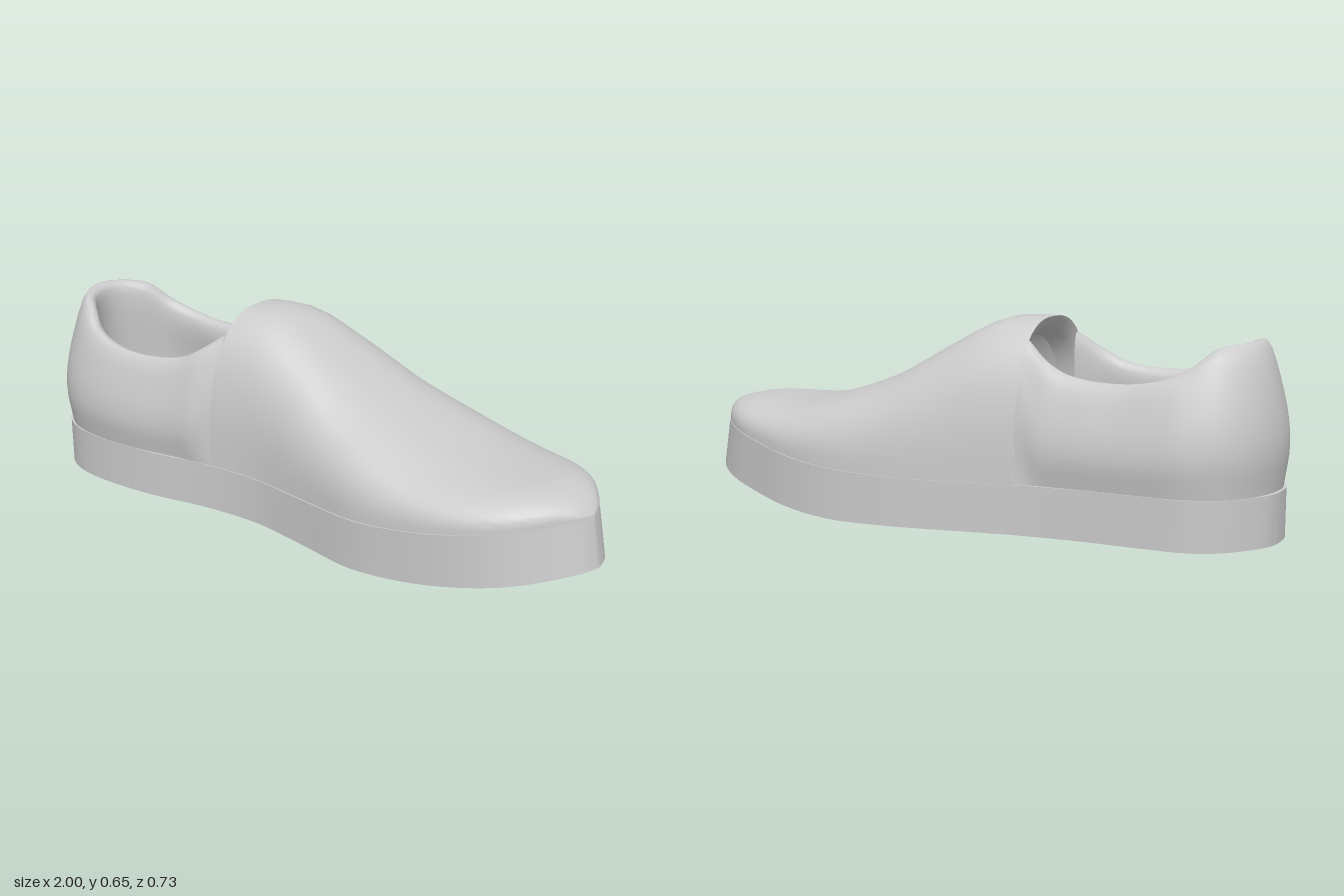
import * as THREE from 'three';
import { toCreasedNormals } from 'three/addons/utils/BufferGeometryUtils.js';

const V = (x, y, z) => new THREE.Vector3(x, y, z);
const spline = (pts) => new THREE.CatmullRomCurve3(pts);

// Point of a curve whose x is given (x grows along the curve)
function at(curve, x) {
  let lo = 0, hi = 1;
  for (let i = 0; i < 30; i++) {
    const mid = (lo + hi) / 2;
    if (curve.getPoint(mid).x < x) lo = mid; else hi = mid;
  }
  return curve.getPoint((lo + hi) / 2);
}

// Skin a grid of points (rows of equal length)
function skin(rows, crease, name) {
  const pos = [], index = [], n = rows[0].length;
  rows.forEach((row) => row.forEach((p) => pos.push(p.x, p.y, p.z)));
  for (let i = 0; i < rows.length - 1; i++) {
    for (let j = 0; j < n - 1; j++) {
      const a = i * n + j, b = a + n;
      index.push(a, b, a + 1, b, b + 1, a + 1);
    }
  }
  const g = new THREE.BufferGeometry();
  g.setAttribute('position', new THREE.Float32BufferAttribute(pos, 3));
  g.setIndex(index);
  const mat = new THREE.MeshStandardMaterial({ color: 0xcccccc, side: THREE.DoubleSide });
  const mesh = new THREE.Mesh(toCreasedNormals(g, crease), mat);
  mesh.name = name;
  return mesh;
}

// Footprint: x, z of the right edge, z of the left edge
const footprint = spline([
  [-1, 0.1, 0.1], [-0.992, 0.045, 0.175], [-0.96, -0.02, 0.25], [-0.9, -0.1, 0.31], [-0.82, -0.15, 0.34],
  [-0.7, -0.17, 0.347], [-0.5, -0.19, 0.325], [-0.3, -0.225, 0.28], [-0.1, -0.28, 0.26],
  [0.1, -0.335, 0.28], [0.33, -0.365, 0.31], [0.5, -0.35, 0.3], [0.65, -0.31, 0.275],
  [0.78, -0.265, 0.23], [0.88, -0.2, 0.165], [0.95, -0.115, 0.09], [0.985, -0.055, 0.045], [1, 0, 0],
].map((p) => V(...p)));

// Heights along the length
const soleTop = spline([V(-1.1, 0.155, 0), V(-0.4, 0.155, 0), V(0.1, 0.155, 0), V(0.4, 0.172, 0), V(0.7, 0.215, 0), V(1.01, 0.268, 0)]);
const soleBottom = spline([V(0.3, 0, 0), V(0.5, 0.018, 0), V(0.75, 0.058, 0), V(1.01, 0.112, 0)]);
const instep = spline([[-0.4, 0.64], [-0.28, 0.645], [-0.15, 0.64], [0, 0.565], [0.2, 0.452], [0.5, 0.352],
  [0.65, 0.332], [0.85, 0.325], [0.93, 0.302], [0.975, 0.262]].map(([x, y]) => V(x, y, 0)));

// The top of the sole is pulled back a little at the toe
const lean = (x) => x - 0.03 * THREE.MathUtils.smoothstep(x, 0.5, 1);

function sole() {
  const rows = [];
  for (let i = 0; i <= 68; i++) {
    const { x, y: right, z: left } = footprint.getPoint(i / 68);
    const top = at(soleTop, x).y, low = x > 0.3 ? at(soleBottom, x).y : 0;
    rows.push([V(x, low, right), V(x, low, left), V(lean(x), top, left), V(lean(x), top, right), V(x, low, right)].reverse());
  }
  return skin(rows, 0.7, 'sole');
}

// Point on the arched section of the front upper; u runs 0..2 from right to left
function arch(x, u, scale = 1) {
  const f = at(footprint, x), base = at(soleTop, x).y;
  const h = Math.max(at(instep, lean(x)).y - base, 0) * scale;
  const half = (f.z - f.y) / 2 * 0.985 * scale, a = u * Math.PI / 2, e = 2 / 2.6;
  const c = Math.cos(a);
  return V(lean(x), base + h * Math.pow(Math.abs(Math.sin(a)), e),
    (f.y + f.z) / 2 - Math.sign(c) * half * Math.pow(Math.abs(c), e));
}

const FRONT = -0.28, CORNER = 0.63;

function vamp() {
  const stations = [[-0.2, 0.87], [-0.25, 0.91], [-0.27, 0.96], [FRONT, 1]];
  for (let i = 1; i <= 36; i++) stations.push([FRONT + (1 - FRONT) * Math.sin(i / 36 * Math.PI / 2), 1]);
  const rows = stations.map(([x, s]) => Array.from({ length: 41 }, (_, j) => arch(x, j / 20, s)).reverse());
  return skin(rows, 1.0, 'vamp');
}

function heelQuarter() {
  // base x, base z, rim x, rim z, rim height
  const columns = [
    [-0.28, -0.225, -0.29, -0.14, 0.6], [-0.35, -0.205, -0.35, -0.15, 0.525], [-0.42, -0.195, -0.42, -0.145, 0.488],
    [-0.57, -0.178, -0.57, -0.125, 0.47], [-0.7, -0.165, -0.69, -0.115, 0.485], [-0.8, -0.15, -0.78, -0.085, 0.52],
    [-0.9, -0.095, -0.85, -0.03, 0.58], [-0.96, -0.01, -0.91, 0.04, 0.595], [-0.987, 0.1, -0.93, 0.11, 0.6],
    [-0.975, 0.2, -0.91, 0.19, 0.595], [-0.92, 0.285, -0.85, 0.25, 0.575], [-0.84, 0.33, -0.78, 0.285, 0.52],
    [-0.71, 0.345, -0.69, 0.295, 0.485], [-0.57, 0.332, -0.57, 0.285, 0.47], [-0.42, 0.3, -0.42, 0.255, 0.488],
    [-0.35, 0.288, -0.35, 0.235, 0.525], [-0.28, 0.275, -0.27, 0.18, 0.6],
  ];
  const last = columns.length - 1;
  const profiles = columns.map(([bx, bz, rx, rz, ry], i) => {
    const p = columns[Math.max(i - 1, 0)], q = columns[Math.min(i + 1, last)];
    const out = V(q[1] - p[1], 0, p[0] - q[0]).normalize();
    if (out.x * (bx + 0.6) + out.z * (bz - 0.08) < 0) out.negate();
    const base = V(bx, 0.155, bz), rim = V(rx, ry, rz);
    let outer = [base, base.clone().lerp(rim, 0.3).lerp(V(bx, 0.155 + 0.3 * (ry - 0.155), bz), 0.95).addScaledVector(out, 0.016),
      V(bx, 0, bz).lerp(V(rx, 0, rz), 0.28).setY(0.155 + 0.64 * (ry - 0.155)).addScaledVector(out, 0.012), rim];
    // End columns follow the vamp's first section
    if (i === 0 || i === last) {
      outer = [0, 1, 2, 3].map((k) => arch(FRONT, i ? 2 - k * CORNER / 3 : k * CORNER / 3));
    }
    const top = outer[3];
    const inward = (d, y) => top.clone().addScaledVector(out, -d).setY(y);
    return spline([...outer, inward(0.025, top.y - 0.008), inward(0.036, top.y - 0.05), inward(0.02, 0.3), inward(0.015, 0.15)]);
  });
  // Resample each height around the heel
  const rows = [];
  for (let r = 0; r <= 28; r++) {
    rows.push(spline(profiles.map((c) => c.getPoint(r / 28))).getPoints(64));
  }
  return skin(rows, 1.0, 'heelQuarter');
}

export function createModel() {
  const shoe = new THREE.Group();
  shoe.name = 'shoe';
  shoe.add(sole(), vamp(), heelQuarter());
  return shoe;
}
